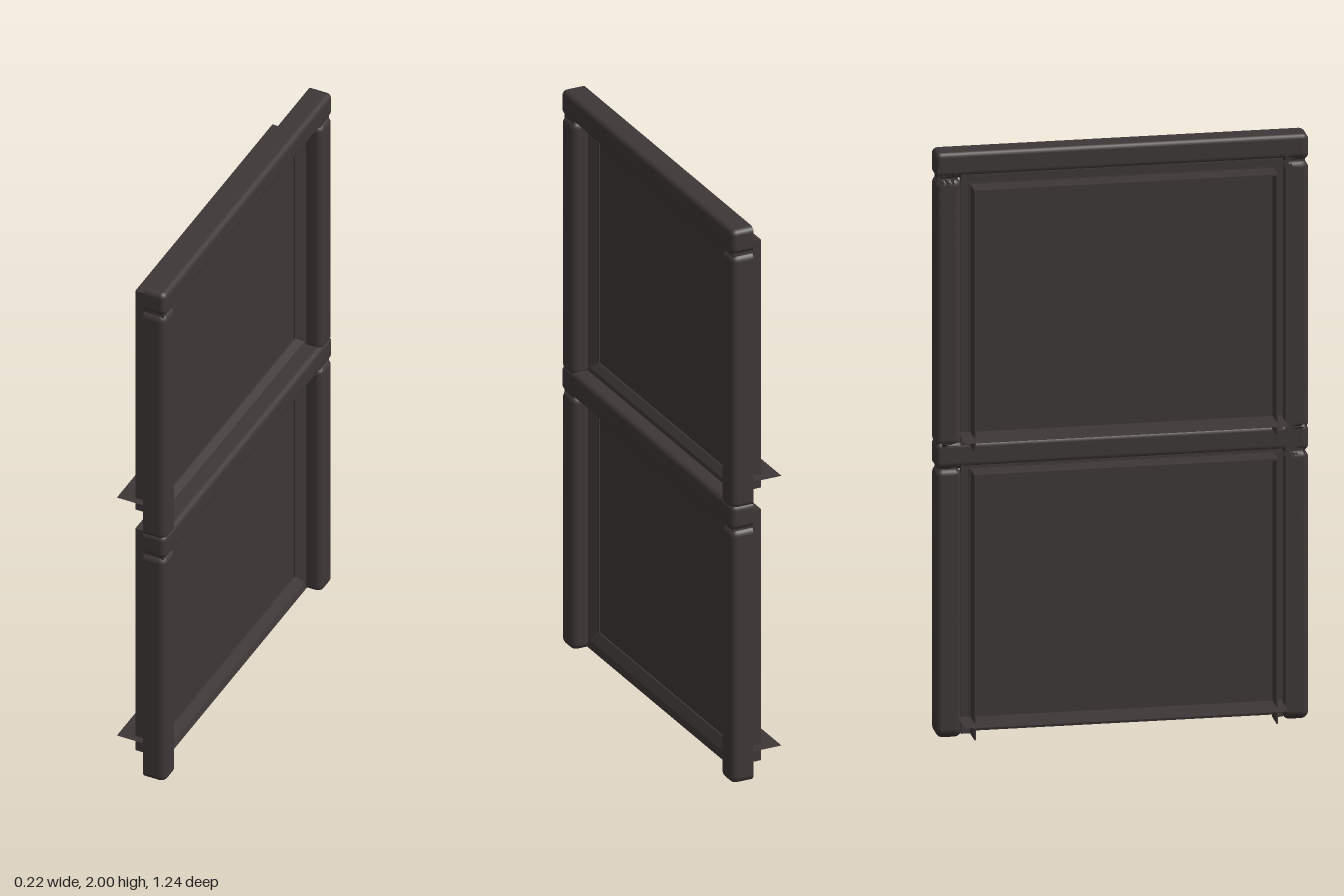
import * as THREE from 'three';
import { RoundedBoxGeometry } from 'three/addons/geometries/RoundedBoxGeometry.js';

const BACK = 0.03, FRONT = 0.11;

export function createModel() {
  const group = new THREE.Group();
  const darkWood = new THREE.MeshStandardMaterial({ color: 0x3e3737, side: THREE.DoubleSide });
  darkWood.name = 'darkWood';

  const add = (name, geometry, parent = group) => {
    const mesh = new THREE.Mesh(geometry, darkWood);
    mesh.name = name;
    parent.add(mesh);
    return mesh;
  };

  // Bar with rounded front edges and a flat back
  const bar = (name, y0, y1, z0, z1, radius) => {
    const x0 = BACK - 0.05;
    const g = new RoundedBoxGeometry(FRONT - x0, y1 - y0, z1 - z0, 3, radius);
    g.translate((FRONT + x0) / 2, (y0 + y1) / 2, (z0 + z1) / 2);
    const p = g.attributes.position;
    for (let i = 0; i < p.count; i++) p.setX(i, Math.max(p.getX(i), BACK));
    add(name, g);
  };

  // Box given by its limits
  const box = (name, x0, x1, y0, y1, z0, z1, parent = group) => {
    const g = new THREE.BoxGeometry(x1 - x0, y1 - y0, z1 - z0);
    g.translate((x0 + x1) / 2, (y0 + y1) / 2, (z0 + z1) / 2);
    add(name, g, parent);
  };

  // Straight moulding with a polygon profile
  const prism = (points, length) => new THREE.ExtrudeGeometry(
    new THREE.Shape(points.map(([x, y]) => new THREE.Vector2(x, y))),
    { depth: length, bevelEnabled: false });

  // Horizontal rails
  bar('middleRail', 0.917, 1.007, -0.62, 0.62, 0.02);
  bar('topRail', 1.912, 2, -0.62, 0.62, 0.02);

  // Upright posts, two per tier, with a core joining them to the rails
  for (const s of [-1, 1]) {
    const side = s > 0 ? 'left' : 'right';
    const span = (inner, outer) => s > 0 ? [inner, outer] : [-outer, -inner];
    for (const [y0, y1] of [[0, 0.917], [0.99, 1.908]]) {
      bar(side + 'Post', y0, y1, ...span(0.533, 0.62), 0.025);
    }
    box(side + 'PostCore', BACK, 0.1, 0.03, 1.95, ...span(0.545, 0.61));
  }

  // Recessed panel units: base, top, ledge height, head height
  for (const [b, t, ledgeY, headY, name] of [
    [0.01, 0.917, 0.068, 0.925, 'lowerPanel'],
    [0.995, 1.89, 1.042, 1.92, 'upperPanel']]) {
    const unit = new THREE.Group();
    unit.name = name;
    group.add(unit);

    box('panelFace', 0.02, 0.025, ledgeY, t + 0.002, -0.51, 0.51, unit);
    box('panelTopEdge', -0.055, 0.03, t - 0.005, t, -0.505, 0.505, unit);
    for (const s of [-1, 1]) {
      const z = s * 0.5025;
      box('panelSideEdge', -0.055, 0.03, b, t, z - 0.0025, z + 0.0025, unit);

      // Chamfered bead between panel and post
      const bead = prism([[0.024, -s * 0.505], [0.03, -s * 0.505], [0.055, -s * 0.535], [0.024, -s * 0.535]], headY - b - 0.01);
      bead.rotateX(-Math.PI / 2);
      add('sideBead', bead.translate(0, b, 0), unit);
    }

    // Bead closing the gap under the rail
    const head = prism([[0.024, t], [0.03, t], [0.05, headY], [0.024, headY]], 1.07);
    add('headBead', head.translate(0, 0, -0.535), unit);

    // Sloping sill and thin ledge projecting to the rear
    const sill = prism([[0.052, b], [0.056, b], [0.05, b + 0.025], [0.03, ledgeY], [0.024, ledgeY], [0.046, b + 0.023]], 1.07);
    add('sill', sill.translate(0, 0, -0.535), unit);
    const ledge = new THREE.PlaneGeometry(0.14, 1.075).rotateX(-Math.PI / 2);
    add('rearLedge', ledge.translate(-0.04, ledgeY, -0.0075), unit);
  }

  return group;
}
